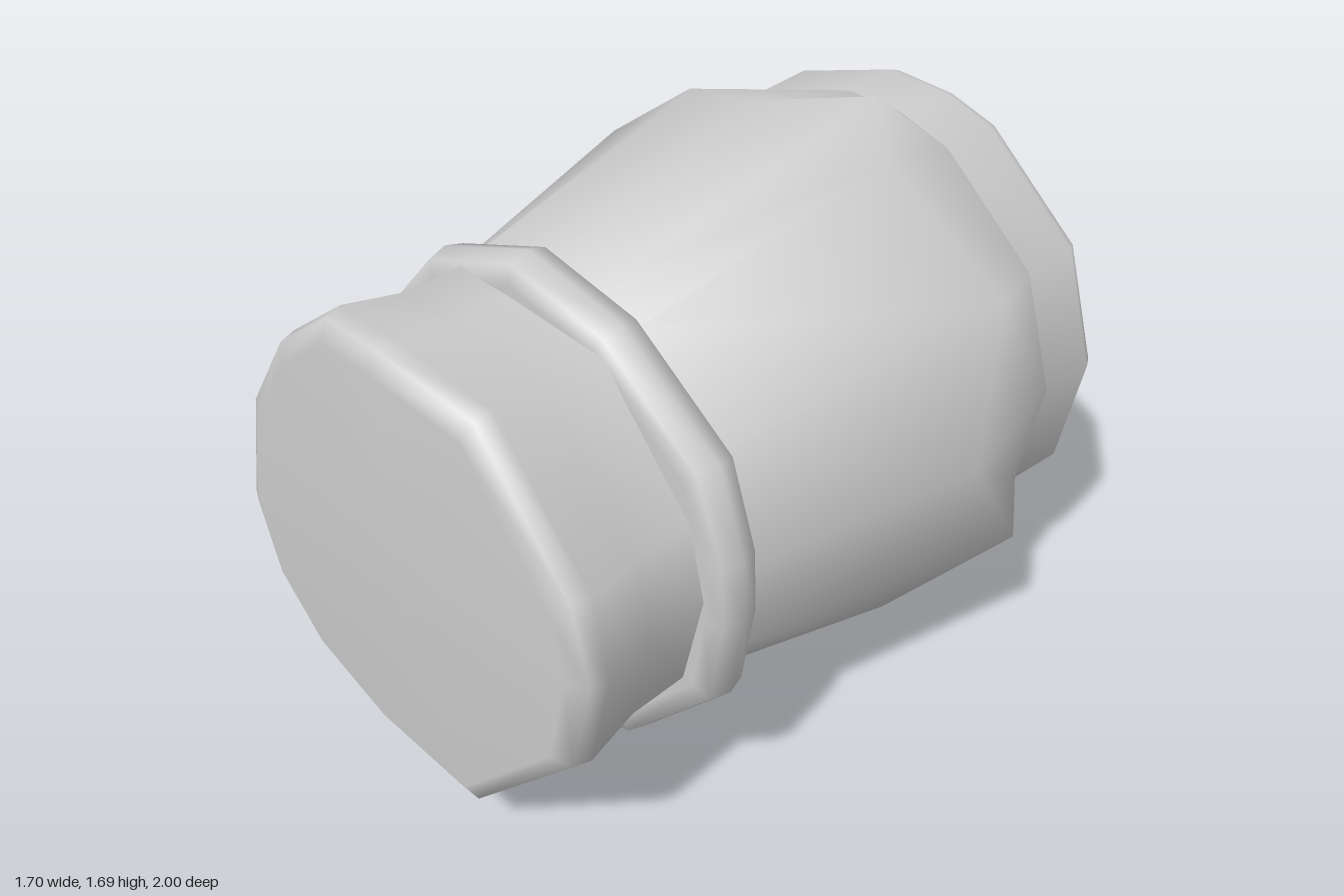
import * as THREE from 'three';

const CX = 0.01, CY = 0.85;
const material = new THREE.MeshStandardMaterial({ color: 0xcccccc, side: THREE.DoubleSide });

// Uneven outlines, counter-clockwise seen from the front: [x, y] or [x, y, z]
const plugOutline = [
  [0.69, 0.88], [0.64, 1.1], [0.34, 1.46], [0, 1.5], [-0.2, 1.51], [-0.42, 1.35], [-0.59, 1.1],
  [-0.67, 0.76], [-0.6, 0.52], [-0.43, 0.34], [-0.14, 0.22], [0.23, 0.18], [0.62, 0.58],
];
const bandOutline = [
  [0.73, 0.82], [0.72, 1.0], [0.64, 1.24], [0.32, 1.49], [0, 1.57], [-0.33, 1.46], [-0.62, 1.14],
  [-0.7, 0.87], [-0.62, 0.52], [-0.45, 0.36], [-0.23, 0.16], [0.07, 0.14], [0.39, 0.24], [0.69, 0.56],
];
const bulgeOutline = [
  [0.845, 0.9, -0.3], [0.74, 1.3, -0.5], [0.37, 1.6, -0.45], [0.2, 1.69, -0.6], [-0.03, 1.69, -0.34],
  [-0.4, 1.57, -0.5], [-0.67, 1.37, -0.45], [-0.85, 0.88, -0.41], [-0.65, 0.29, -0.45],
  [-0.16, 0.02, -0.38], [-0.03, 0, -0.58], [0.48, 0.13, -0.45], [0.81, 0.5, -0.6],
];

// An outline scaled about the axis and placed at depth z
const scaled = (outline, s, z) =>
  outline.map(([x, y]) => [CX + (x - CX) * s, CY + (y - CY) * s, z]);

// A round section whose corners line up with those of the bulge
const round = (r, z, x0 = CX, y0 = CY) => bulgeOutline.map(([x, y]) => {
  const a = Math.atan2(y - CY, x - CX);
  return [x0 + r * Math.cos(a), y0 + r * Math.sin(a), z];
});

// Smooth skin through sections ordered back to front, with optional end caps
function loft(name, sections, { back = false, front = false } = {}) {
  const n = sections[0].length, points = sections.flat(), index = [];
  for (let i = 0; i < sections.length - 1; i++) {
    for (let j = 0; j < n; j++) {
      const k = (j + 1) % n, a = i * n, b = a + n;
      index.push(a + j, a + k, b + k, a + j, b + k, b + j);
    }
  }
  const cap = (row, isFront) => {
    const centre = points.length;
    points.push([CX, CY, sections[row][0][2]]);
    for (let j = 0; j < n; j++) {
      const p = row * n + j, q = row * n + (j + 1) % n;
      index.push(centre, ...(isFront ? [p, q] : [q, p]));
    }
  };
  if (back) cap(0, false);
  if (front) cap(sections.length - 1, true);
  const geometry = new THREE.BufferGeometry();
  geometry.setAttribute('position', new THREE.Float32BufferAttribute(points.flat(), 3));
  geometry.setIndex(index);
  geometry.computeVertexNormals();
  const mesh = new THREE.Mesh(geometry, material);
  mesh.name = name;
  return mesh;
}

export function createModel() {
  const group = new THREE.Group();
  group.name = 'barrel';

  // Thin open collar at the back
  const step = round(0.735, -0.77, 0.02, 0.86);
  group.add(loft('collar', [round(0.73, -1, 0.02, 0.86), round(0.745, -0.96, 0.025, 0.86), step]));

  // Hollow tapered body, open to the back and closed at the front
  group.add(loft('body', [step, bulgeOutline, round(0.645, 0.41)], { front: true }));

  // Thin rounded band in front of the body
  const band = [[0.9, 0.42], [0.98, 0.445], [1, 0.5], [0.975, 0.56], [0.9, 0.57]];
  group.add(loft('band', band.map(([s, z]) => scaled(bandOutline, s, z)), { back: true, front: true }));

  // Closed front plug with a slight waist and softened edge
  const plug = [[0.95, 0.56], [0.95, 0.75], [1, 0.92], [0.98, 0.97], [0.9, 1]];
  group.add(loft('plug', plug.map(([s, z]) => scaled(plugOutline, s, z)), { front: true }));

  return group;
}
